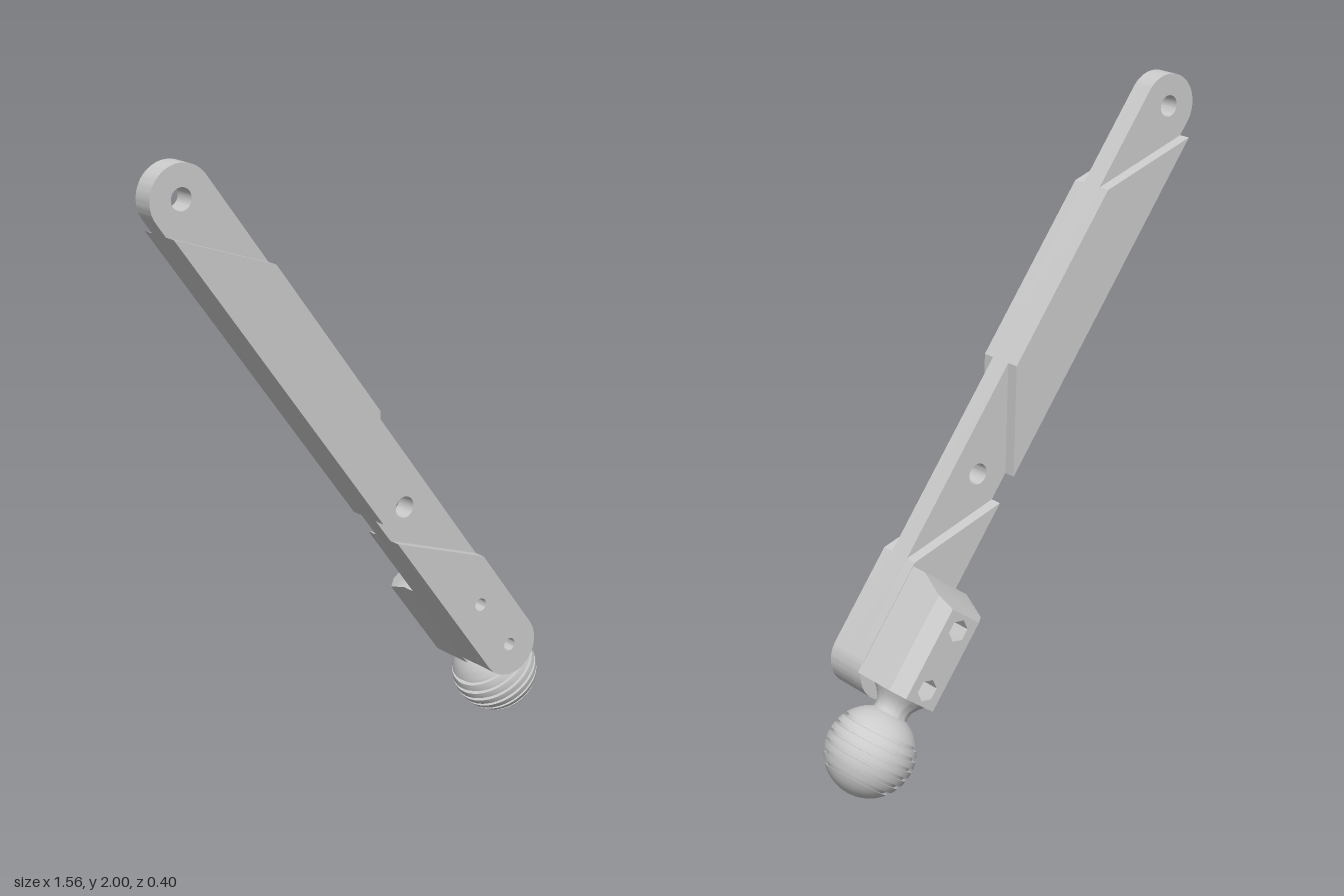
import * as THREE from 'three';
import { toCreasedNormals } from 'three/addons/utils/BufferGeometryUtils.js';

// Local frame: x runs down the arm from the upper pivot, y across it, z to the front
const HALF_W = 0.102, END = 1.95, CORE = 0.037, PAD = 0.077;
const BALL_X = 2.193, BALL_Z = -0.06, BALL_R = 0.14;
const material = new THREE.MeshStandardMaterial({ color: 0xcccccc });

function addMesh(parent, name, geometry) {
  const mesh = new THREE.Mesh(toCreasedNormals(geometry, 0.5), material);
  mesh.name = name;
  parent.add(mesh);
}

function drillHole(shape, x, r, sides = 24) {
  const pts = [];
  for (let i = 0; i < sides; i++) {
    const a = -i / sides * Math.PI * 2;
    pts.push(new THREE.Vector2(x + r * Math.cos(a), r * Math.sin(a)));
  }
  shape.holes.push(new THREE.Path(pts));
}

// Flat plate between two depths, following the slight lean of the arm
function plate(shape, z0, z1) {
  const geo = new THREE.ExtrudeGeometry(shape, { depth: z1 - z0, bevelEnabled: false, curveSegments: 20 });
  const p = geo.attributes.position;
  for (let i = 0; i < p.count; i++) p.setZ(i, p.getZ(i) + z0 + 0.125 - 0.004 * p.getX(i));
  return geo;
}

function coreShape() {
  const s = new THREE.Shape();
  s.moveTo(0, -HALF_W);
  s.lineTo(END, -HALF_W);
  s.absarc(END, 0, HALF_W, -Math.PI / 2, Math.PI / 2, false);
  s.lineTo(0, HALF_W);
  s.absarc(0, 0, HALF_W, Math.PI / 2, Math.PI * 1.5, false);
  drillHole(s, 0, 0.034);
  drillHole(s, 1.296, 0.034);
  for (const x of [1.75, END]) drillHole(s, x, 0.021);
  return s;
}

function upperPadShape() {
  return new THREE.Shape([[0.05, -HALF_W], [1.25, -HALF_W], [0.955, HALF_W], [0.342, HALF_W]]
    .map(([x, y]) => new THREE.Vector2(x, y)));
}

function lowerPadShape() {
  const s = new THREE.Shape();
  s.moveTo(1.342, -HALF_W);
  s.lineTo(END, -HALF_W);
  s.absarc(END, 0, HALF_W, -Math.PI / 2, Math.PI / 2, false);
  s.lineTo(1.628, HALF_W);
  for (const x of [1.75, END]) drillHole(s, x, 0.021);
  return s;
}

// Block behind the lower end: sloped upper end, chamfered long edges, nut pockets
function mountBlock() {
  const x0 = 1.64, x1 = 2.0, h = 0.1;
  const s = new THREE.Shape([[x0, -h], [x1, -h], [x1, h], [x0, h]].map(([x, y]) => new THREE.Vector2(x, y)));
  for (const x of [1.75, END]) drillHole(s, x, 0.036, 6);
  const geo = new THREE.ExtrudeGeometry(s, { depth: 3, steps: 3, bevelEnabled: false });
  const depths = [-0.157, -0.115, -0.015, 0.042];
  const slope = [0.06, 0.042, 0, 0];
  const p = geo.attributes.position;
  for (let i = 0; i < p.count; i++) {
    const level = Math.round(p.getZ(i));
    p.setZ(i, depths[level]);
    if (p.getX(i) < x0 + 0.01) p.setX(i, x0 + slope[level]);
    if (level === 0 && Math.abs(p.getY(i)) > 0.09) p.setY(i, Math.sign(p.getY(i)) * 0.062);
  }
  return geo;
}

// Turned profile: flared neck, then a ball with ring grooves
function ballAndNeck() {
  const pts = [[0.09, -0.196], [0.072, -0.178], [0.058, -0.158], [0.054, -0.14], [0.056, -0.128]];
  const arc = (from, to, n, inset = 0) => {
    for (let i = 0; i <= n; i++) {
      const d = from + (to - from) * i / n;
      pts.push([Math.max(0, Math.sqrt(Math.max(0, BALL_R ** 2 - d * d)) - inset), d]);
    }
  };
  const start = -0.075, pitch = 0.031, groove = 0.012, count = 6;
  arc(-0.125, start, 6);
  for (let i = 0; i < count; i++) {
    const d = start + i * pitch;
    arc(d, d + groove, 1, 0.012);
    if (i < count - 1) arc(d + groove, d + pitch, 3);
  }
  // Rounded cap, sampled by angle
  const a0 = Math.acos((start + (count - 1) * pitch + groove) / BALL_R);
  for (let i = 0; i <= 10; i++) {
    const a = a0 * (1 - i / 10);
    pts.push([BALL_R * Math.sin(a), BALL_R * Math.cos(a)]);
  }
  const geo = new THREE.LatheGeometry(pts.map(([r, y]) => new THREE.Vector2(r, y)), 48);
  geo.rotateZ(-Math.PI / 2);
  geo.translate(BALL_X, 0, BALL_Z);
  return geo;
}

export function createModel() {
  const model = new THREE.Group();
  model.name = 'ballEndedArm';
  const arm = new THREE.Group();
  arm.name = 'arm';
  arm.position.set(-0.68, 1.9, 0);
  arm.rotation.z = -Math.atan2(0.8, 0.6);
  model.add(arm);

  addMesh(arm, 'coreBar', plate(coreShape(), -CORE, CORE));
  // Thickening pads on both faces of the bar
  for (const [side, z0, z1] of [['front', CORE, PAD], ['back', -PAD, -CORE]]) {
    addMesh(arm, side + 'UpperPad', plate(upperPadShape(), z0, z1));
    addMesh(arm, side + 'LowerPad', plate(lowerPadShape(), z0, z1));
  }
  addMesh(arm, 'mountBlock', mountBlock());
  addMesh(arm, 'ballAndNeck', ballAndNeck());
  return model;
}
